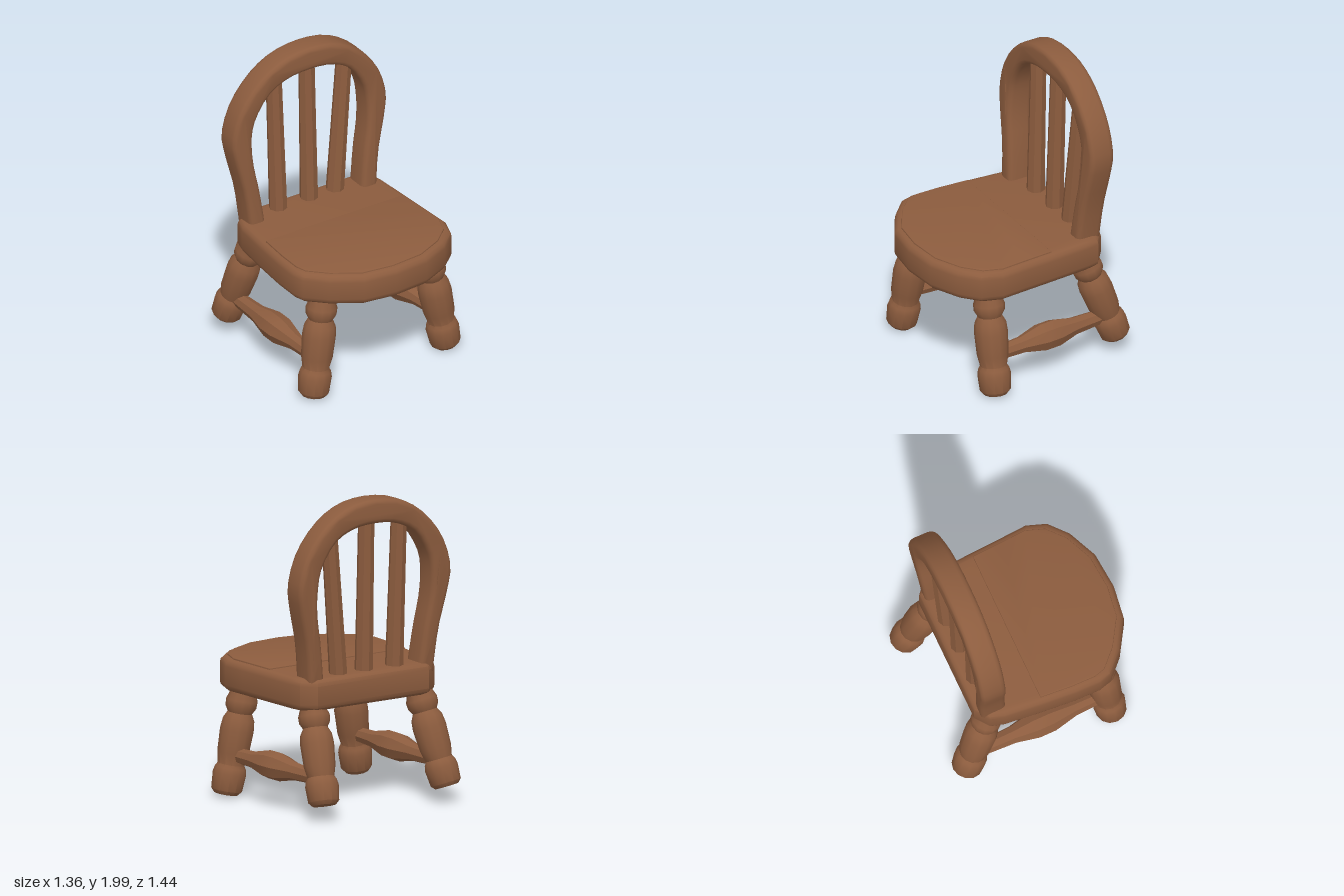
import * as THREE from 'three';
import { toCreasedNormals } from 'three/addons/utils/BufferGeometryUtils.js';

const V = (x, y, z) => new THREE.Vector3(x, y, z);

export function createModel() {
  const model = new THREE.Group();
  model.name = 'chair';
  const wood = new THREE.MeshStandardMaterial({ color: 0x8c5c3e });
  wood.name = 'brown wood';

  const add = (name, geometry) => {
    const mesh = new THREE.Mesh(geometry, wood);
    mesh.name = name;
    model.add(mesh);
    return mesh;
  };

  // Lathe-turned part running from a to b; profile rows are [radius, fraction of length]
  function turned(name, a, b, profile, sides = 12) {
    const dir = b.clone().sub(a);
    const pts = profile.map(([r, t]) => new THREE.Vector2(r, t * dir.length()));
    const mesh = add(name, toCreasedNormals(new THREE.LatheGeometry(pts, sides).toNonIndexed(), 0.75));
    mesh.position.copy(a);
    mesh.quaternion.setFromUnitVectors(V(0, 1, 0), dir.normalize());
  }

  // Horizontal slab with rounded edges, from an outline in (x, z)
  function slab(name, pts, bottom, top, bevel) {
    const shape = new THREE.Shape(pts.map(([x, z]) => new THREE.Vector2(x, -z)));
    const g = new THREE.ExtrudeGeometry(shape, {
      depth: top - bottom - 2 * bevel, bevelThickness: bevel, bevelSize: bevel,
      bevelOffset: -bevel, bevelSegments: 3,
    });
    g.rotateX(-Math.PI / 2).translate(0, bottom + bevel, 0);
    add(name, toCreasedNormals(g, 0.65));
  }

  // Seat: bowed front, straight back with cut corners
  const front = [
    [-0.538, -0.02], [-0.553, 0.2], [-0.553, 0.37], [-0.53, 0.45], [-0.41, 0.565], [-0.22, 0.68],
    [0, 0.71], [0.24, 0.69], [0.43, 0.605], [0.55, 0.5], [0.595, 0.37], [0.582, 0.2], [0.567, -0.02],
  ];
  const back = [[0.548, -0.27], [0.53, -0.36], [0.44, -0.43], [-0.4, -0.43], [-0.49, -0.36], [-0.515, -0.27]];
  slab('seat', [...front, ...back], 0.685, 0.893, 0.045);
  // Slightly raised front panel of the seat top
  slab('seatPanel', front.map(([x, z]) => [x * 0.93, (z + 0.02) * 0.94 - 0.02]), 0.885, 0.902, 0.006);

  // Back hoop: horseshoe between two mirrored half curves
  const curve = (half) => {
    const all = [...half, ...half.slice(0, -1).reverse().map(([x, y]) => [-x, y])];
    return new THREE.SplineCurve(all.map(([x, y]) => new THREE.Vector2(x + 0.008, y))).getPoints(36);
  };
  const outer = curve([[0.47, 0.82], [0.5, 1.1], [0.553, 1.33], [0.574, 1.5], [0.51, 1.7], [0.37, 1.87], [0.2, 1.97], [0, 2]]);
  const inner = curve([[0.355, 0.82], [0.39, 1.1], [0.425, 1.3], [0.43, 1.47], [0.4, 1.61], [0.3, 1.755], [0.16, 1.825], [0, 1.842]]);
  const hoop = new THREE.ExtrudeGeometry(new THREE.Shape([...outer, ...inner.reverse()]), {
    depth: 0.1, bevelThickness: 0.035, bevelSize: 0.03, bevelOffset: -0.03, bevelSegments: 3,
  });
  // Lower ends of the hoop lean forward
  const lean = (y) => -0.365 + 0.07 * Math.max(0, 1.5 - y);
  const p = hoop.attributes.position;
  for (let i = 0; i < p.count; i++) p.setZ(i, p.getZ(i) - 0.05 + lean(p.getY(i)));
  add('backHoop', toCreasedNormals(hoop, 0.65));

  // Back spindles: [bottom x, top x, top y]
  [[-0.2, -0.215, 1.82], [0.03, 0.03, 1.88], [0.22, 0.31, 1.8]].forEach(([x0, x1, y]) =>
    turned('backSpindle', V(x0, 0.84, -0.335), V(x1, y, -0.365), [[0, 0], [0.059, 0], [0.055, 0.5], [0.052, 1], [0, 1]], 8));

  // Turned legs: [name, foot, top]
  const legProfile = [
    [0, 0], [0.075, 0], [0.098, 0.035], [0.106, 0.18], [0.098, 0.23], [0.085, 0.26], [0.1, 0.36], [0.107, 0.56],
    [0.1, 0.65], [0.078, 0.71], [0.098, 0.76], [0.1, 0.82], [0.082, 0.89], [0.08, 1], [0, 1],
  ];
  const legs = [
    ['frontLeftLeg', V(0.565, 0.02, 0.41), V(0.43, 0.74, 0.39)],
    ['frontRightLeg', V(-0.475, 0.02, 0.48), V(-0.365, 0.74, 0.43)],
    ['backLeftLeg', V(0.462, 0.11, -0.53), V(0.4, 0.76, -0.3)],
    ['backRightLeg', V(-0.475, 0.11, -0.52), V(-0.386, 0.76, -0.305)],
  ];
  legs.forEach(([name, foot, top]) => turned(name, foot, top, legProfile));

  // Side stretchers with a swollen middle, joining front and back legs
  const stretcherProfile = [[0, 0], [0.045, 0], [0.055, 0.25], [0.09, 0.42], [0.09, 0.54], [0.058, 0.7], [0.045, 1], [0, 1]];
  const at = ([, foot, top], y) => foot.clone().lerp(top, (y - foot.y) / (top.y - foot.y));
  [0, 1].forEach((i) =>
    turned(i ? 'rightStretcher' : 'leftStretcher', at(legs[i], 0.27), at(legs[i + 2], 0.27), stretcherProfile, 8));

  // The chair stands slightly turned
  model.rotation.y = -0.284;
  const root = new THREE.Group();
  root.name = 'turnedChair';
  root.add(model);
  return root;
}
